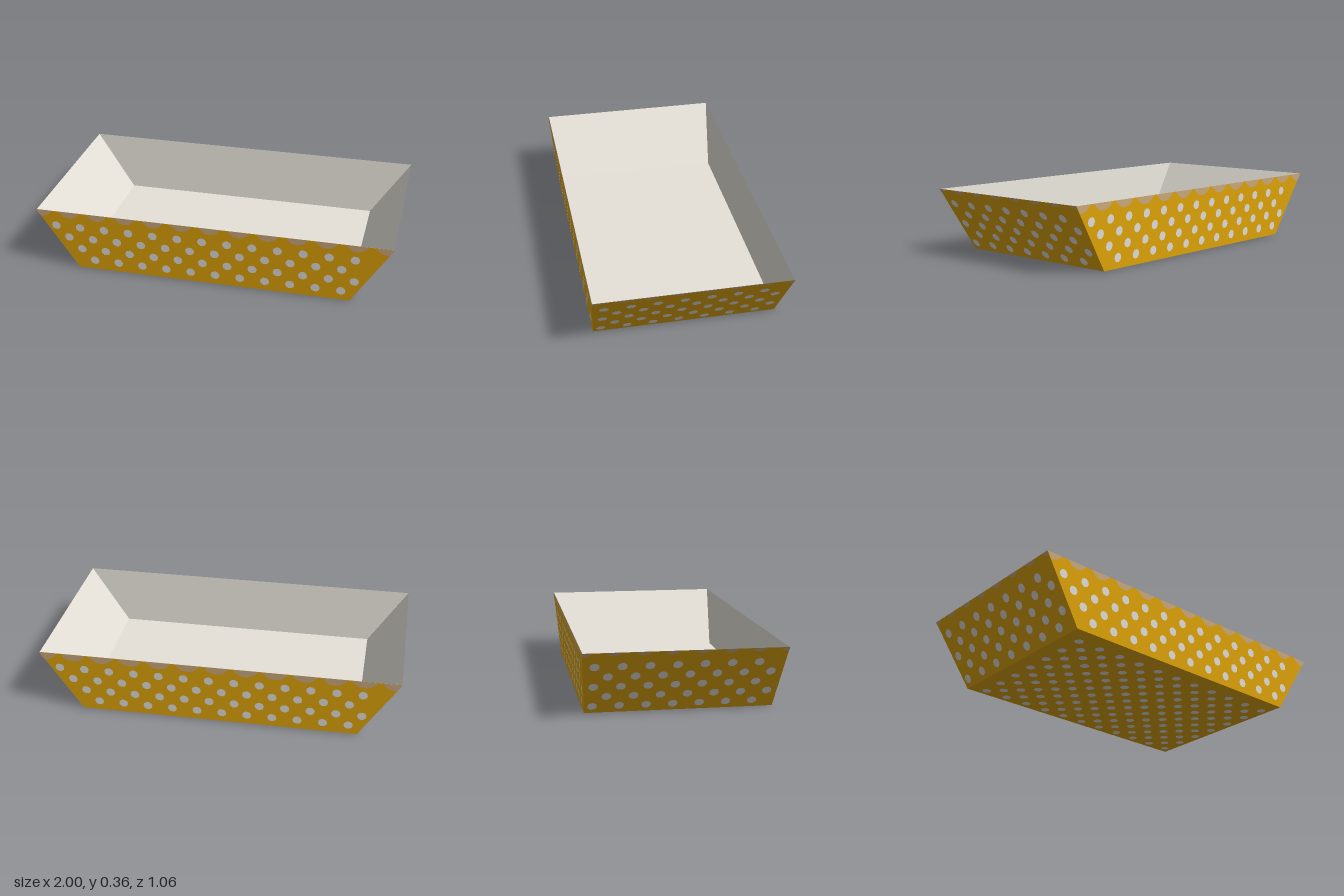
import * as THREE from 'three';
import { mergeGeometries } from 'three/addons/utils/BufferGeometryUtils.js';

const H = 0.36;                                            // tray height
const OUTER = { bx: 0.775, bz: 0.5, tx: 1, tz: 0.526, floor: 0 };
const INNER = { bx: 0.77, bz: 0.496, tx: 0.997, tz: 0.524, floor: 0.028 };
const DOT = 0.0255, STEP = 0.1404;                         // polka dot radius and spacing
const LIFT = 0.002;                                        // height of printed details

function makeMaterial(name, color, side = THREE.FrontSide) {
  const material = new THREE.MeshStandardMaterial({ color, side });
  material.name = name;
  return material;
}

// The five panels of an open tray: base point, u direction, slope direction and size
function trayPanels({ bx, bz, tx, tz, floor }) {
  const rise = H - floor;
  const long = { bottom: bx, top: tx, length: Math.hypot(rise, tz - bz) };
  const short = { bottom: bz, top: tz, length: Math.hypot(rise, tx - bx) };
  return {
    frontWall: { origin: [0, floor, bz], u: [1, 0, 0], v: [0, rise, tz - bz], ...long },
    backWall: { origin: [0, floor, -bz], u: [-1, 0, 0], v: [0, rise, bz - tz], ...long },
    leftWall: { origin: [bx, floor, 0], u: [0, 0, -1], v: [tx - bx, rise, 0], ...short },
    rightWall: { origin: [-bx, floor, 0], u: [0, 0, 1], v: [bx - tx, rise, 0], ...short },
    base: { origin: [0, floor, -bz], u: [1, 0, 0], v: [0, 0, 1], bottom: bx, top: bx, length: 2 * bz },
  };
}

// Group whose local x, y and z are the panel's u, slope and outward normal
function panelGroup(name, { origin, u, v }) {
  const group = new THREE.Group();
  group.name = name;
  const uAxis = new THREE.Vector3(...u), vAxis = new THREE.Vector3(...v).normalize();
  const normal = new THREE.Vector3().crossVectors(uAxis, vAxis);
  group.applyMatrix4(new THREE.Matrix4().makeBasis(uAxis, vAxis, normal).setPosition(...origin));
  return group;
}

function addMesh(group, name, geometry, material, lift = 0) {
  const mesh = new THREE.Mesh(geometry, material);
  mesh.name = name;
  mesh.position.z = lift;
  group.add(mesh);
}

// Four-sided sheet, symmetric about u = 0
function sheetGeometry({ bottom, top, length }) {
  return new THREE.ShapeGeometry(new THREE.Shape([
    new THREE.Vector2(-bottom, 0), new THREE.Vector2(bottom, 0),
    new THREE.Vector2(top, length), new THREE.Vector2(-top, length),
  ]));
}

// Staggered rows of dots that stay inside the panel
function dotsGeometry({ bottom, top, length }, { phase, firstRow }) {
  const dots = [];
  let row = 0;
  for (let v = firstRow; v < length - 0.06; v += STEP / 2, row++) {
    const edge = bottom + (top - bottom) * v / length - 0.035;
    const shift = phase + (row % 2) * STEP / 2;
    for (let k = -10; k <= 20; k++) {
      const u = shift + k * STEP;
      if (Math.abs(u) < edge) dots.push(new THREE.CircleGeometry(DOT, 10).translate(u, v, 0));
    }
  }
  return mergeGeometries(dots);
}

// Rounded valleys of a scalloped border, hanging from the rim and cut at the corners
function scallopGeometry({ bottom, top, length }, { start, step, half, depth }) {
  const outline = [[-1, 0], [-0.8, 0.4], [-0.45, 0.85], [0, 1], [0.45, 0.85], [0.8, 0.4], [1, 0]];
  const slope = (top - bottom) / length;
  const valleys = [];
  for (let c = start; c < top; c += step) {
    valleys.push(new THREE.ShapeGeometry(new THREE.Shape(outline.map(([du, dv]) => {
      const limit = top - dv * depth * slope;
      return new THREE.Vector2(THREE.MathUtils.clamp(c + du * half, -limit, limit), length - dv * depth);
    }))));
  }
  return mergeGeometries(valleys);
}

export function createModel() {
  const gold = makeMaterial('gold paper', 0xe2a608);
  const dotGrey = makeMaterial('dot grey', 0xe3e2df);
  const tan = makeMaterial('border tan', 0xcfac7e);
  const lining = makeMaterial('lining grey', 0xe6e2d9, THREE.DoubleSide);

  const longDots = { phase: -0.678, firstRow: 0.059 };
  const shortDots = { phase: -0.46, firstRow: 0.049 };
  const shortScallop = { start: -0.515, step: 0.148, half: 0.042, depth: 0.022 };
  const prints = {
    frontWall: { dots: longDots, scallop: { start: -0.968, step: 0.161, half: 0.06, depth: 0.038 } },
    backWall: { dots: longDots, scallop: { start: -0.968, step: 0.161, half: 0.07, depth: 0.042 } },
    leftWall: { dots: shortDots, scallop: shortScallop },
    rightWall: { dots: shortDots, scallop: shortScallop },
    base: { dots: { phase: -0.678, firstRow: 0.05 } },
  };

  const model = new THREE.Group();
  model.name = 'tray';

  // Printed paper outside
  for (const [name, panel] of Object.entries(trayPanels(OUTER))) {
    const group = panelGroup(name, panel);
    const { dots, scallop } = prints[name];
    addMesh(group, 'outerPaper', sheetGeometry(panel), gold);
    addMesh(group, 'polkaDots', dotsGeometry(panel, dots), dotGrey, LIFT);
    if (scallop) addMesh(group, 'scallopedBorder', scallopGeometry(panel, scallop), tan, LIFT);
    model.add(group);
  }

  // Plain lining inside, with a slightly raised floor
  for (const [name, panel] of Object.entries(trayPanels(INNER))) {
    const group = panelGroup(name + 'Lining', panel);
    addMesh(group, 'lining', sheetGeometry(panel), lining);
    model.add(group);
  }
  return model;
}
